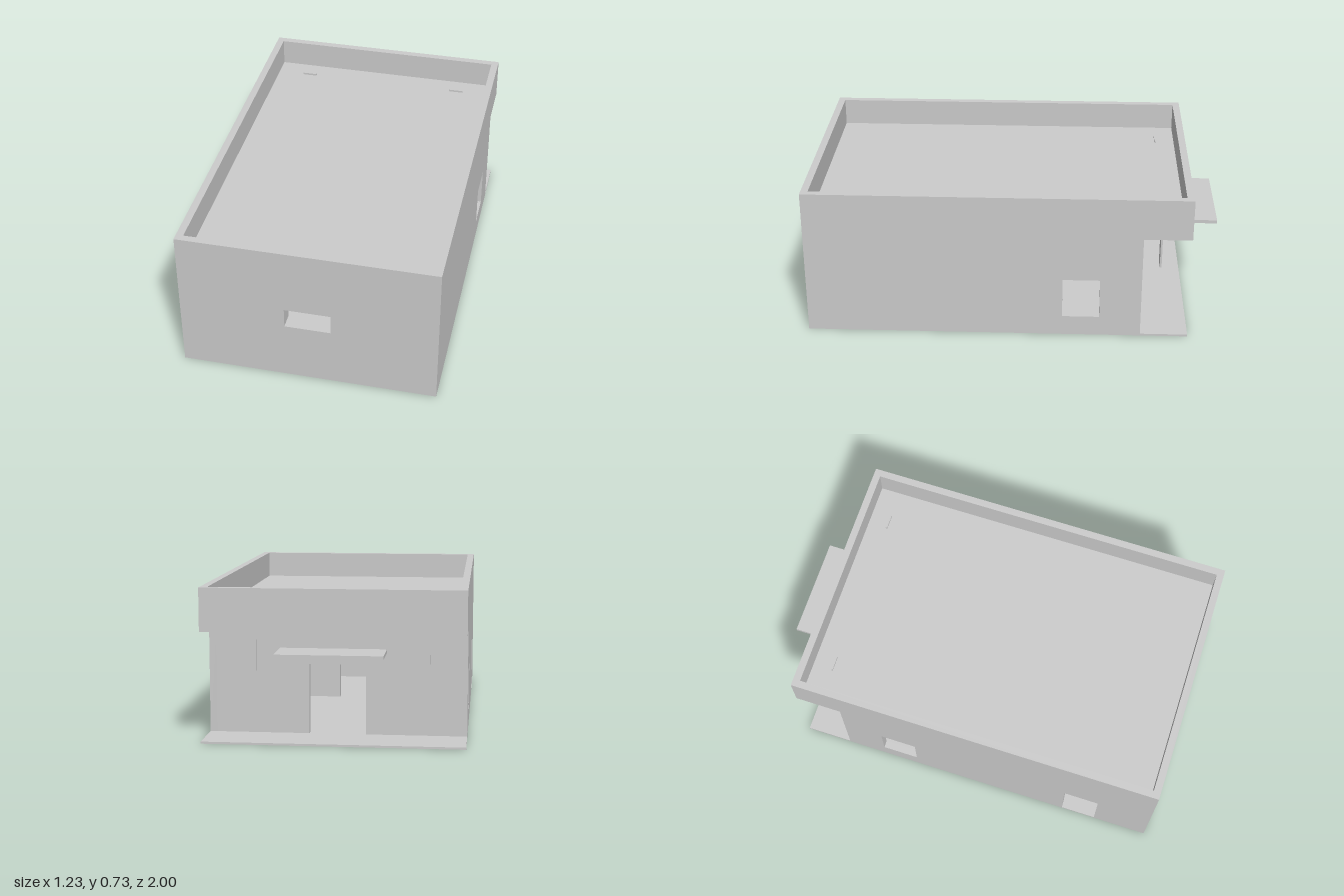
import * as THREE from 'three';

const W = 0.615, FRONT = 1, BACK = -0.85, WALL_BACK = -0.62;
const T = 0.035, FLOOR = 0.01, CEILING = 0.525, DECK = 0.595, TOP = 0.73;

export function createModel() {
  const building = new THREE.Group();
  building.name = 'building';
  const material = new THREE.MeshStandardMaterial({ color: 0xcccccc, flatShading: true });

  function add(name, geometry) {
    const mesh = new THREE.Mesh(geometry, material);
    mesh.name = name;
    building.add(mesh);
    return mesh;
  }

  // Box given by its limits on each axis
  function box(name, [x0, x1], [y0, y1], [z0, z1]) {
    return add(name, new THREE.BoxGeometry(x1 - x0, y1 - y0, z1 - z0)
      .translate((x0 + x1) / 2, (y0 + y1) / 2, (z0 + z1) / 2));
  }

  // Upright wall from u0 to u1, with an optional doorway or window
  function wall(u0, u1, depth, { door, window } = {}) {
    const shape = new THREE.Shape().moveTo(u0, FLOOR);
    if (door) {
      const [d0, d1, top] = door;
      shape.lineTo(d0, FLOOR).lineTo(d0, top).lineTo(d1, top).lineTo(d1, FLOOR);
    }
    shape.lineTo(u1, FLOOR).lineTo(u1, CEILING).lineTo(u0, CEILING).closePath();
    if (window) {
      const [a, b, low, high] = window;
      shape.holes.push(new THREE.Path().moveTo(a, low).lineTo(a, high)
        .lineTo(b, high).lineTo(b, low).closePath());
    }
    return new THREE.ExtrudeGeometry(shape, { depth, bevelEnabled: false });
  }

  // Floor slab reaching out under the porch
  box('floorSlab', [-W, W], [0, FLOOR], [BACK, FRONT]);

  // Front wall with a serving window, back wall with the entrance
  const frontDepth = 0.08;
  add('frontWall', wall(-W, W, frontDepth, { window: [-0.11, 0.11, 0.3, 0.4] }))
    .position.z = FRONT - frontDepth;
  add('backWall', wall(-W + T, W - T, T, { door: [-0.135, 0.135, 0.345] }))
    .position.z = WALL_BACK;

  // Inner partition with a narrower doorway
  add('partitionWall', wall(-W + T, W - T, T, { door: [-0.09, 0.09, 0.31] }))
    .position.z = 0.3;

  // Side walls are drawn along -z; the right one also has a side door
  const sideWindow = [0.24, 0.42, 0.1, 0.3];
  const u0 = -(FRONT - frontDepth), u1 = -WALL_BACK;
  const left = add('leftWall', wall(u0, u1, T, { window: sideWindow }));
  left.position.x = W - T;
  const right = add('rightWall', wall(u0, u1, T, { window: sideWindow, door: [-0.73, -0.555, 0.31] }));
  right.position.x = -W;
  left.rotation.y = right.rotation.y = Math.PI / 2;

  // Roof deck overhanging the porch
  box('roofDeck', [-W + T, W - T], [CEILING, DECK], [BACK + T, FRONT - T]);

  // Parapet ring around the deck
  const ring = new THREE.Shape().moveTo(-W, -FRONT).lineTo(W, -FRONT)
    .lineTo(W, -BACK).lineTo(-W, -BACK).closePath();
  ring.holes.push(new THREE.Path().moveTo(-W + T, -FRONT + T).lineTo(-W + T, -BACK - T)
    .lineTo(W - T, -BACK - T).lineTo(W - T, -FRONT + T).closePath());
  const parapet = add('parapet', new THREE.ExtrudeGeometry(ring, { depth: TOP - CEILING, bevelEnabled: false }));
  parapet.rotation.x = -Math.PI / 2;
  parapet.position.y = CEILING;

  // Entrance canopy
  box('canopy', [-0.247, 0.247], [0.433, 0.45], [-1, -0.8]);

  // Thin panels hanging through the porch roof
  for (const side of [-1, 1]) {
    box(side > 0 ? 'leftHangingPanel' : 'rightHangingPanel',
      [side * 0.407 - 0.037, side * 0.407 + 0.037], [0.285, 0.605], [-0.722, -0.713]);
  }

  return building;
}
